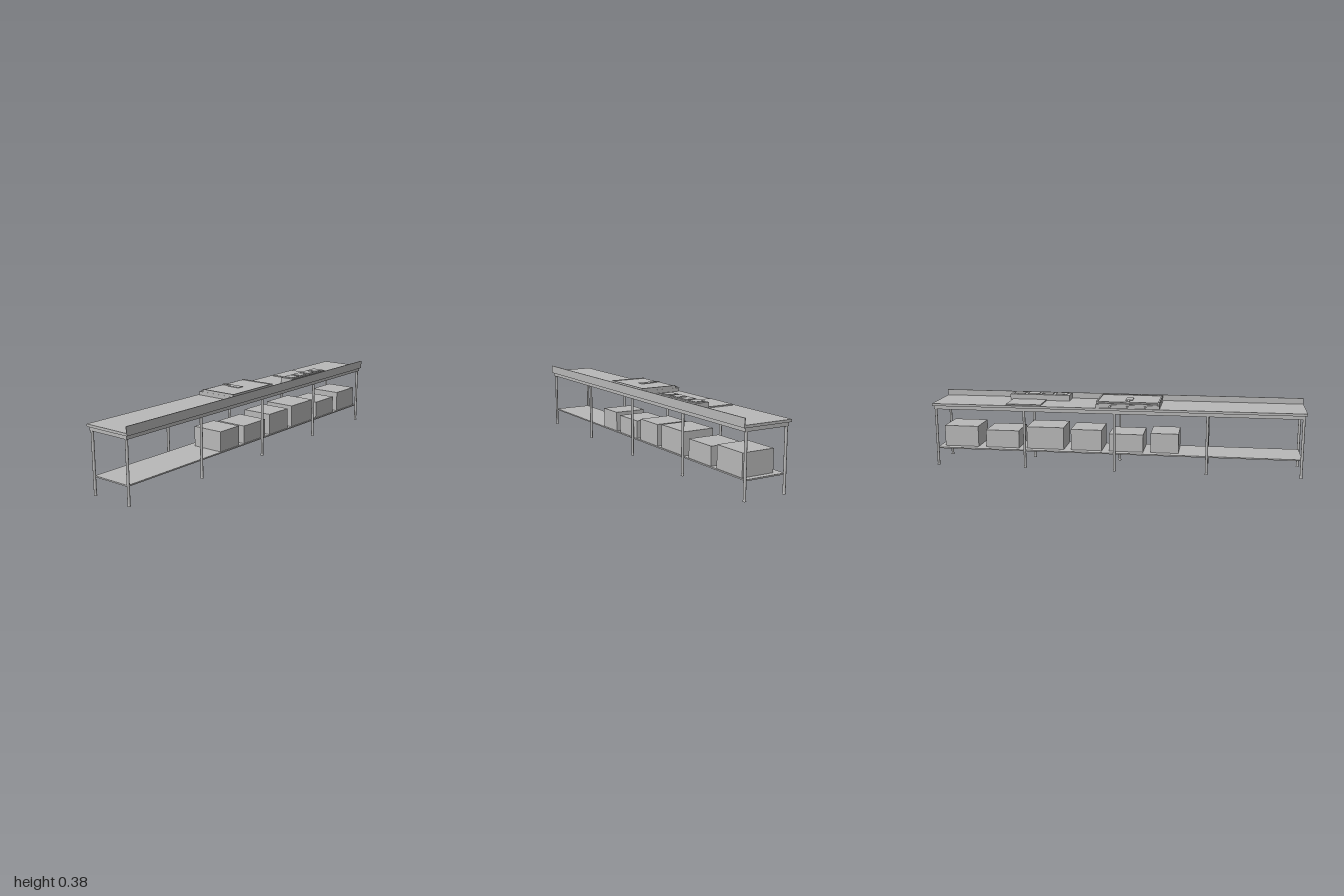
import * as THREE from 'three';

export function createModel() {
  const root = new THREE.Group();
  root.name = 'prepTable';
  const steel = new THREE.MeshStandardMaterial({ color: 0xb8b8b8 });
  steel.name = 'brushed steel grey';

  // Box given by its minimum and maximum on each axis
  const box = (name, [x0, x1], [y0, y1], [z0, z1]) => {
    const m = new THREE.Mesh(new THREE.BoxGeometry(x1 - x0, y1 - y0, z1 - z0), steel);
    m.position.set((x0 + x1) / 2, (y0 + y1) / 2, (z0 + z1) / 2);
    m.name = name;
    root.add(m);
    return m;
  };

  // Worktop, apron frame, backsplash and lower shelf
  box('worktop', [-0.132, 0.132], [0.334, 0.347], [-1, 1]);
  box('apronFrame', [-0.124, 0.122], [0.315, 0.334], [-0.992, 0.992]);
  box('backsplash', [0.127, 0.132], [0.347, 0.379], [-1, 1]);
  box('lowerShelf', [-0.112, 0.108], [0.092, 0.099], [-0.985, 0.985]);

  // Round legs with flared feet, five pairs
  const legGeo = new THREE.CylinderGeometry(0.007, 0.007, 0.305, 16);
  const footGeo = new THREE.CylinderGeometry(0.0065, 0.0085, 0.012, 16);
  for (const x of [-0.115, 0.111]) {
    for (const z of [-0.984, -0.492, 0, 0.492, 0.984]) {
      const leg = new THREE.Mesh(legGeo, steel);
      leg.name = 'leg';
      leg.position.set(x, 0.1645, z);
      const foot = new THREE.Mesh(footGeo, steel);
      foot.name = 'foot';
      foot.position.set(x, 0.006, z);
      root.add(leg, foot);
    }
  }

  // Storage boxes on the shelf: z range and top height
  for (const [z0, z1, top] of [
    [0.19, 0.34, 0.205], [-0.035, 0.15, 0.195], [-0.245, -0.075, 0.213],
    [-0.49, -0.285, 0.22], [-0.72, -0.535, 0.195], [-0.955, -0.765, 0.213],
  ]) box('storageBox', [-0.072, 0.104], [0.099, top], [z0, z1]);

  // Griddle: body, cooking plate, side and rear guards, front gutter lip
  box('griddleBody', [-0.124, 0.108], [0.347, 0.366], [-0.1, 0.24]);
  box('griddlePlate', [-0.1, 0.105], [0.366, 0.377], [-0.092, 0.232]);
  box('griddleGutter', [-0.12, -0.1], [0.366, 0.371], [-0.088, 0.228]);
  for (const z of [-0.095, 0.235])
    box('griddleSideGuard', [-0.1, 0.105], [0.366, 0.38], [z - 0.004, z + 0.004]);
  box('griddleRearGuard', [0.101, 0.106], [0.366, 0.38], [-0.095, 0.235]);

  // Control knobs along the griddle front
  const knobGeo = new THREE.CylinderGeometry(0.006, 0.006, 0.01, 16);
  for (const z of [-0.022, 0.07, 0.165]) {
    const knob = new THREE.Mesh(knobGeo, steel);
    knob.name = 'knob';
    knob.rotation.z = Math.PI / 2;
    knob.position.set(-0.129, 0.357, z);
    root.add(knob);
  }

  // Spatula lying on the griddle
  box('spatulaHandle', [-0.1, -0.054], [0.374, 0.382], [0.064, 0.078]);
  box('spatulaBlade', [-0.055, 0.02], [0.377, 0.38], [0.052, 0.09]);

  // Ingredient tray with four lids
  box('ingredientTray', [0.037, 0.112], [0.347, 0.379], [-0.605, -0.27]);
  for (let i = 0; i < 4; i++) {
    const z = -0.556 + i * 0.079;
    box('trayLid', [0.047, 0.104], [0.379, 0.383], [z - 0.031, z + 0.031]);
  }

  // Cutting board
  box('cuttingBoard', [-0.116, 0.035], [0.347, 0.353], [-0.59, -0.4]);

  return root;
}
